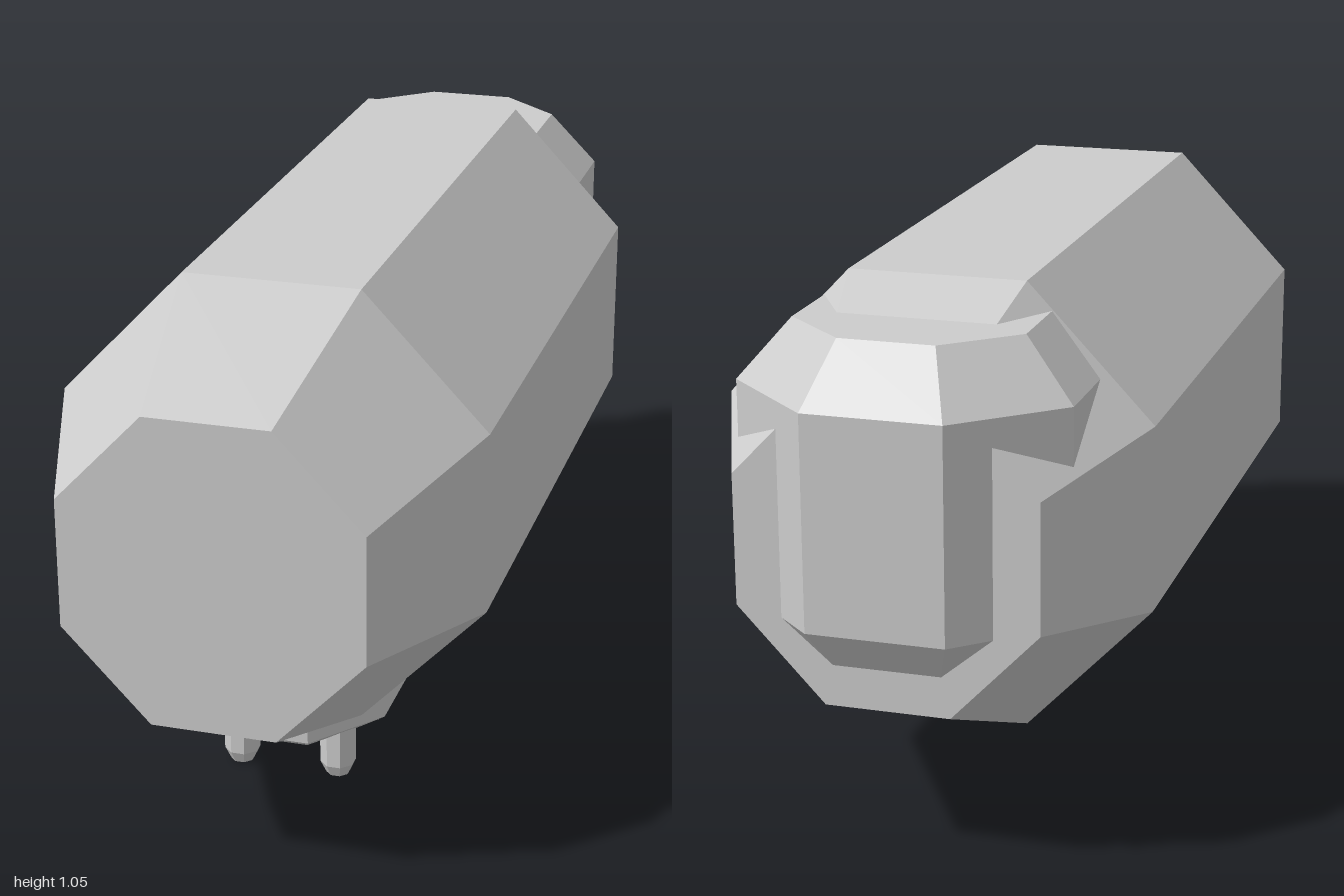
import * as THREE from 'three';

const grey = new THREE.MeshStandardMaterial({ color: 0xcccccc, flatShading: true });
grey.name = 'plain grey';

// Closed eight-sided solid around y; profile holds [half width, height] from bottom to top
function octagonSolid(name, profile, depthRatio = 1) {
  const toCorner = 1 / Math.cos(Math.PI / 8);
  const points = [
    [0, profile[0][1]],
    ...profile,
    [0, profile[profile.length - 1][1]],
  ].map(([r, y]) => new THREE.Vector2(r * toCorner, y));
  const lathe = new THREE.LatheGeometry(points, 8, Math.PI / 8);
  lathe.scale(1, 1, depthRatio);
  const geometry = lathe.toNonIndexed();
  geometry.computeVertexNormals();
  const mesh = new THREE.Mesh(geometry, grey);
  mesh.name = name;
  return mesh;
}

export function createModel() {
  const model = new THREE.Group();
  model.name = 'capsule';

  // Long octagonal body lying along z, tapered at both ends
  const body = octagonSolid('body', [
    [0.287, -0.937], [0.415, -0.625], [0.415, 0.63], [0.287, 1],
  ], 0.4365 / 0.415);
  body.geometry.rotateX(Math.PI / 2);
  body.position.y = 0.616;
  model.add(body);

  // Upright chamfered housing sunk into the back end
  const housing = octagonSolid('rearHousing', [
    [0.22, 0.36], [0.317, 0.475], [0.317, 0.885], [0.22, 1],
  ], 0.29 / 0.317);
  housing.position.z = -0.71;
  model.add(housing);

  // Foot plate under the front of the body
  const plate = octagonSolid('footPlate', [
    [0.14, 0.09], [0.195, 0.135], [0.195, 0.23],
  ], 0.245 / 0.195);
  plate.position.z = 0.445;
  model.add(plate);

  // Four short pegs with tapered tips
  for (const x of [-0.1, 0.1]) {
    for (const z of [0.32, 0.55]) {
      const peg = octagonSolid('peg', [[0.022, 0], [0.033, 0.025], [0.033, 0.15]]);
      peg.position.set(x, 0, z);
      model.add(peg);
    }
  }

  return model;
}
